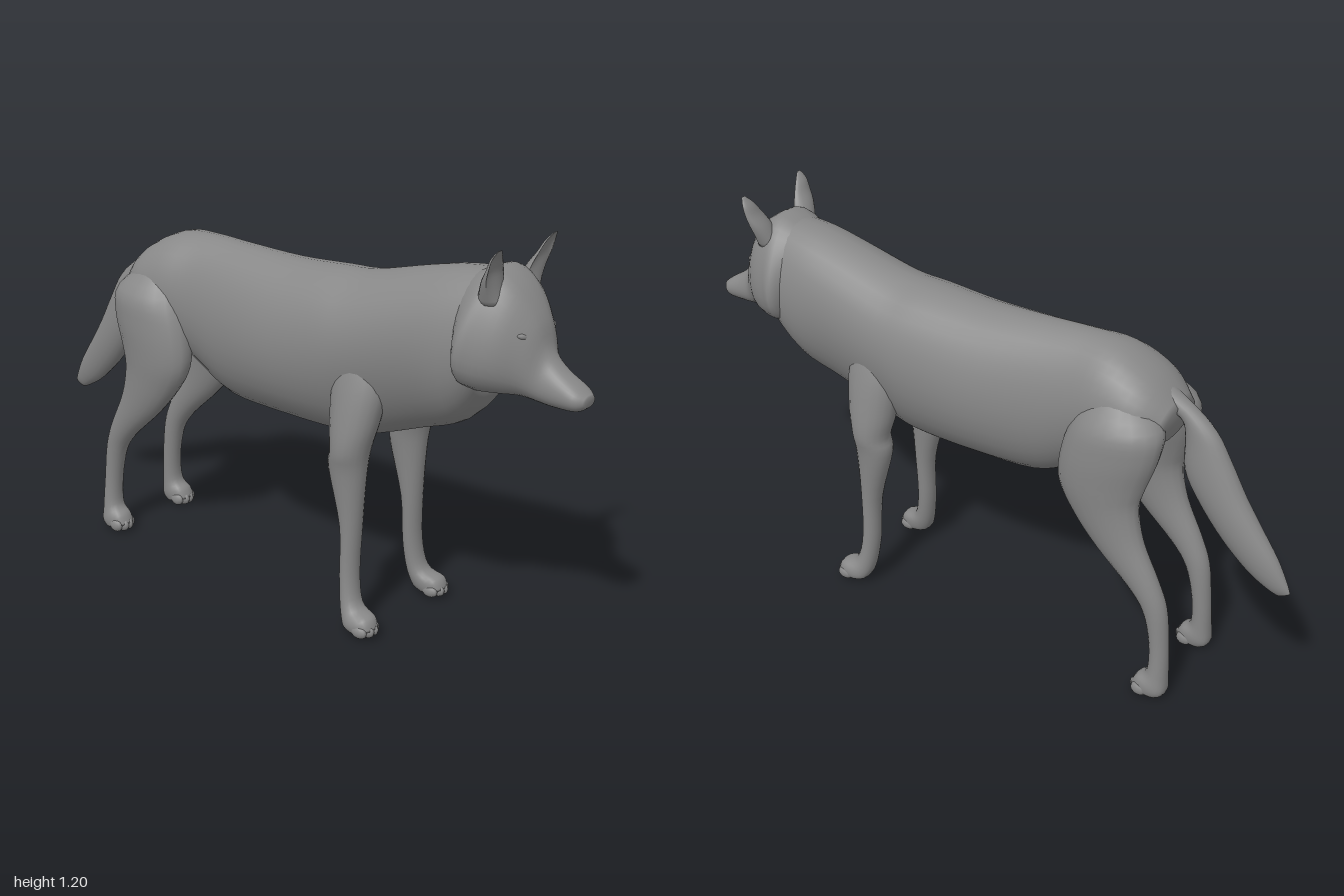
import * as THREE from 'three';

const material = new THREE.MeshStandardMaterial({ color: 0x888888 });

// Smooth skin over rounded rings. A ring is [z1, y1, z2, y2, x, halfWidth, egg, box, hollow]:
// two opposite edge points in profile, the centre x, the half width,
// egg > 0 widens the second edge, box > 0 squares the sides and box < 0 pinches them,
// hollow dents the first edge inwards.
function loft(name, rings, side = 1, sides = 20, sub = 4) {
  const at = (i, k) => rings[Math.max(0, Math.min(rings.length - 1, i))][k] ?? 0;
  const spline = (i, t, k) => {
    const a = at(i - 1, k), b = at(i, k), c = at(i + 1, k), d = at(i + 2, k);
    return b + 0.5 * t * (c - a + t * (2 * a - 5 * b + 4 * c - d + t * (3 * (b - c) + d - a)));
  };
  const pos = [], idx = [], centre = [];
  const steps = (rings.length - 1) * sub;
  for (let s = 0; s <= steps; s++) {
    const i = Math.min(Math.floor(s / sub), rings.length - 2), t = s / sub - i;
    const [z1, y1, z2, y2, x, w, egg, box, hollow] = [0, 1, 2, 3, 4, 5, 6, 7, 8].map(k => spline(i, t, k));
    centre.push([side * x, (y1 + y2) / 2, (z1 + z2) / 2]);
    for (let j = 0; j < sides; j++) {
      const a = (j / sides) * Math.PI * 2, sn = Math.sin(a), cs = Math.cos(a);
      const v = sn > 0 ? sn * (1 - hollow) : sn;
      const u = Math.sign(cs) * Math.abs(cs) ** (1 - box) * (1 - egg * sn);
      pos.push(side * x + w * u, (y1 + y2) / 2 + v * (y1 - y2) / 2, (z1 + z2) / 2 + v * (z1 - z2) / 2);
    }
  }
  for (let s = 0; s < steps; s++) {
    for (let j = 0; j < sides; j++) {
      const a = s * sides + j, b = s * sides + (j + 1) % sides;
      idx.push(a, b, b + sides, a, b + sides, a + sides);
    }
  }
  // end caps
  const n = pos.length / 3;
  pos.push(...centre[0], ...centre[steps]);
  for (let j = 0; j < sides; j++) {
    const k = (j + 1) % sides;
    idx.push(n, k, j, n + 1, steps * sides + j, steps * sides + k);
  }
  // turn the faces outwards, judged by the enclosed volume
  const p = i => new THREE.Vector3().fromArray(pos, idx[i] * 3);
  let volume = 0;
  for (let i = 0; i < idx.length; i += 3) volume += p(i).dot(p(i + 1).cross(p(i + 2)));
  if (volume < 0) idx.reverse();
  const geo = new THREE.BufferGeometry();
  geo.setAttribute('position', new THREE.Float32BufferAttribute(pos, 3));
  geo.setIndex(idx);
  geo.computeVertexNormals();
  const mesh = new THREE.Mesh(geo, material);
  mesh.name = name;
  return mesh;
}

function ellipsoid(name, x, y, z, rx, ry, rz, tilt = 0) {
  const mesh = new THREE.Mesh(new THREE.SphereGeometry(1, 12, 8), material);
  mesh.position.set(x, y, z);
  mesh.scale.set(rx, ry, rz);
  mesh.rotation.z = tilt;
  mesh.name = name;
  return mesh;
}

const torso = [
  [0.72, 1.12, 0.72, 0.79, 0, 0.132, 0.15, 0.25],
  [0.60, 1.11, 0.63, 0.68, 0, 0.148, 0, 0.1],
  [0.48, 1.085, 0.49, 0.62, 0, 0.152, -0.15, -0.05],
  [0.30, 1.04, 0.30, 0.55, 0, 0.163, -0.2, -0.1],
  [0.18, 1.03, 0.20, 0.54, 0, 0.17, -0.1],
  [0.00, 1.02, 0.00, 0.54, 0, 0.168],
  [-0.20, 1.025, -0.20, 0.545, 0, 0.145],
  [-0.33, 1.03, -0.32, 0.60, 0, 0.135],
  [-0.45, 1.02, -0.43, 0.68, 0, 0.147, 0, 0.1],
  [-0.56, 0.965, -0.53, 0.73, 0, 0.14, 0, 0.15],
  [-0.635, 0.89, -0.61, 0.78, 0, 0.09, 0, 0.1],
];
const head = [
  [0.998, 0.835, 0.995, 0.805, 0, 0.024, 0, 0.2],
  [0.97, 0.855, 0.97, 0.79, 0, 0.046, 0, 0.2],
  [0.915, 0.89, 0.91, 0.787, 0, 0.05, 0.1, 0.2],
  [0.875, 0.935, 0.87, 0.79, 0, 0.056, 0.2, 0.2],
  [0.85, 1.01, 0.82, 0.80, 0, 0.087, 0.2, 0.25],
  [0.80, 1.085, 0.77, 0.80, 0, 0.127, 0.2, 0.35],
  [0.745, 1.128, 0.71, 0.80, 0, 0.148, 0.25, 0.4],
  [0.70, 1.128, 0.668, 0.82, 0, 0.156, 0.3, 0.35],
  [0.62, 1.09, 0.65, 0.88, 0, 0.10, 0.1, 0.2],
];
const tail = [
  [-0.56, 0.95, -0.57, 0.88, 0, 0.04],
  [-0.66, 0.895, -0.635, 0.85, 0, 0.028],
  [-0.74, 0.83, -0.65, 0.80, 0, 0.034],
  [-0.79, 0.75, -0.655, 0.70, 0, 0.044],
  [-0.84, 0.66, -0.70, 0.62, 0, 0.047],
  [-0.89, 0.585, -0.78, 0.52, 0, 0.043],
  [-0.95, 0.50, -0.865, 0.44, 0, 0.032],
  [-0.985, 0.435, -0.93, 0.40, 0, 0.018],
  [-0.998, 0.405, -0.96, 0.387, 0, 0.006],
];
const frontLeg = [
  [0.38, 0.90, 0.30, 0.90, 0.08, 0.035],
  [0.42, 0.76, 0.25, 0.76, 0.102, 0.062],
  [0.41, 0.65, 0.255, 0.63, 0.124, 0.066],
  [0.39, 0.56, 0.27, 0.55, 0.14, 0.06],
  [0.38, 0.48, 0.262, 0.49, 0.14, 0.05],
  [0.37, 0.32, 0.305, 0.32, 0.142, 0.036],
  [0.367, 0.18, 0.312, 0.17, 0.148, 0.034],
  [0.385, 0.09, 0.325, 0.075, 0.157, 0.036, 0, 0.1],
  [0.435, 0.065, 0.345, 0.025, 0.166, 0.042, 0, 0.3],
  [0.45, 0.035, 0.37, 0.012, 0.168, 0.038, 0, 0.3],
];
const hindLeg = [
  [-0.43, 0.94, -0.53, 0.93, 0.06, 0.045],
  [-0.37, 0.84, -0.625, 0.85, 0.098, 0.086],
  [-0.335, 0.74, -0.63, 0.77, 0.115, 0.082],
  [-0.33, 0.63, -0.60, 0.67, 0.125, 0.068],
  [-0.38, 0.54, -0.585, 0.60, 0.13, 0.056],
  [-0.46, 0.45, -0.605, 0.50, 0.132, 0.046],
  [-0.57, 0.35, -0.66, 0.385, 0.132, 0.037],
  [-0.622, 0.28, -0.692, 0.30, 0.131, 0.033],
  [-0.648, 0.18, -0.706, 0.18, 0.132, 0.031],
  [-0.65, 0.09, -0.712, 0.08, 0.136, 0.034, 0, 0.1],
  [-0.62, 0.06, -0.713, 0.025, 0.139, 0.04, 0, 0.3],
  [-0.605, 0.03, -0.695, 0.004, 0.14, 0.036, 0, 0.3],
];
const ear = [
  [0.785, 1.05, 0.70, 1.05, 0.08, 0.036, 0, 0, 0.3],
  [0.79, 1.115, 0.725, 1.11, 0.099, 0.04, 0, 0, 0.9],
  [0.79, 1.155, 0.75, 1.15, 0.113, 0.033, 0, 0, 1.4],
  [0.793, 1.185, 0.765, 1.18, 0.122, 0.023, 0, 0, 1.4],
  [0.795, 1.205, 0.785, 1.203, 0.127, 0.007, 0, 0, 1],
];

export function createModel() {
  const model = new THREE.Group();
  model.name = 'wolf';
  model.add(loft('torso', torso, 1, 32), loft('head', head, 1, 32), loft('tail', tail));
  for (const side of [1, -1]) {
    const prefix = side > 0 ? 'left' : 'right';
    model.add(
      loft(prefix + 'FrontLeg', frontLeg, side),
      loft(prefix + 'HindLeg', hindLeg, side),
      loft(prefix + 'Ear', ear, side),
      ellipsoid(prefix + 'Brow', side * 0.06, 0.972, 0.824, 0.026, 0.012, 0.018, side * 0.3),
    );
    // four toes on each paw, mostly sunk into it
    for (let i = 0; i < 4; i++) {
      const spread = i - 1.5, back = Math.abs(spread) > 1 ? 0.012 : 0;
      model.add(
        ellipsoid(prefix + 'FrontToe', side * 0.168 + spread * 0.019, 0.028, 0.427 - back, 0.015, 0.02, 0.028),
        ellipsoid(prefix + 'HindToe', side * 0.14 + spread * 0.018, 0.024, -0.628 - back, 0.015, 0.022, 0.027),
      );
    }
  }
  return model;
}
